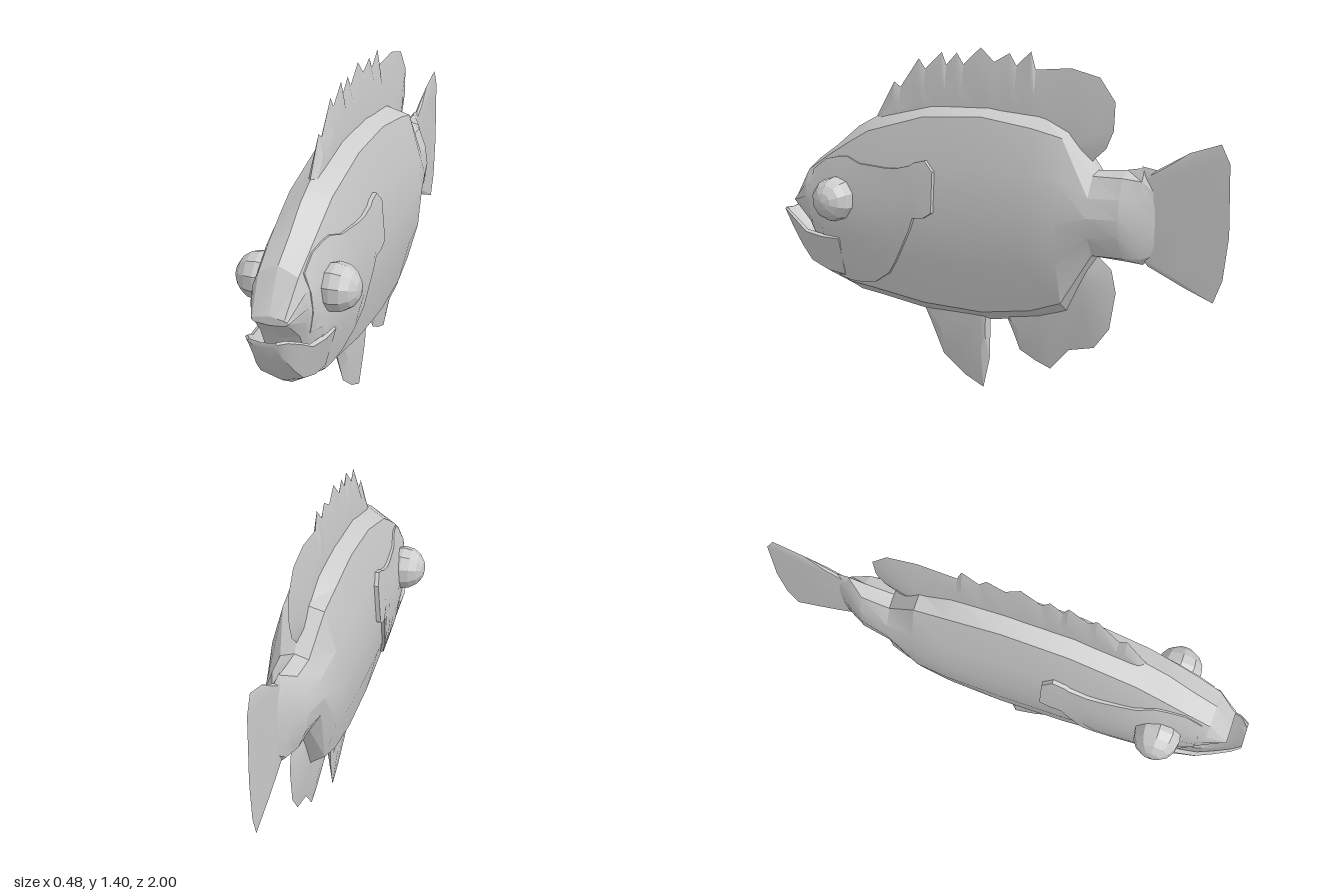
import * as THREE from 'three';
import { toCreasedNormals } from 'three/addons/utils/BufferGeometryUtils.js';

const clamp = THREE.MathUtils.clamp;
const lerp = THREE.MathUtils.lerp;
const material = new THREE.MeshStandardMaterial({ color: 0xcccccc, side: THREE.DoubleSide });

// Closed skin over a row of rings of [x, y, z] points, capped at both ends
function loft(rings, crease) {
  const n = rings[0].length;
  const tris = [];
  for (let i = 0; i + 1 < rings.length; i++) {
    for (let j = 0; j < n; j++) {
      const k = (j + 1) % n;
      const a = rings[i][j], b = rings[i][k], c = rings[i + 1][k], d = rings[i + 1][j];
      tris.push([a, b, c], [a, c, d]);
    }
  }
  const last = rings[rings.length - 1];
  for (let j = 1; j + 1 < n; j++) {
    tris.push([rings[0][0], rings[0][j + 1], rings[0][j]], [last[0], last[j], last[j + 1]]);
  }
  // Turn all faces outward
  const v = (p) => new THREE.Vector3(...p);
  const volume = tris.reduce((s, [a, b, c]) => s + v(a).dot(v(b).cross(v(c))), 0);
  if (volume < 0) tris.forEach((t) => t.reverse());
  const geometry = new THREE.BufferGeometry();
  geometry.setAttribute('position', new THREE.Float32BufferAttribute(tris.flat(2), 3));
  return toCreasedNormals(geometry, crease);
}

// Body stations: z, top, upper shoulder, lower shoulder, bottom, shoulder width, side width
const stations = [
  [0.935, 0.745, 0.735, 0.715, 0.71, 0.055, 0.07],
  [0.85, 0.90, 0.865, 0.64, 0.62, 0.075, 0.108],
  [0.75, 0.968, 0.93, 0.45, 0.40, 0.08, 0.128],
  [0.64, 1.055, 0.995, 0.40, 0.35, 0.082, 0.138],
  [0.54, 1.107, 1.05, 0.39, 0.338, 0.083, 0.142],
  [0.27, 1.17, 1.125, 0.355, 0.30, 0.085, 0.145],
  [0, 1.177, 1.14, 0.35, 0.30, 0.085, 0.145],
  [-0.22, 1.16, 1.11, 0.385, 0.335, 0.085, 0.145],
  [-0.35, 1.10, 1.08, 0.43, 0.375, 0.08, 0.14],
  [-0.47, 0.957, 0.94, 0.63, 0.615, 0.055, 0.115],
  [-0.59, 0.967, 0.94, 0.63, 0.61, 0.048, 0.088],
  [-0.66, 0.98, 0.93, 0.63, 0.605, 0.025, 0.045],
  [-0.715, 0.90, 0.88, 0.67, 0.65, 0.004, 0.006],
];

// Half outline of one station, from the back ridge down to the belly
function halfSection([z, top, high, low, bottom, ws, wm]) {
  const wu = lerp(ws, wm, 0.75);
  const mid = (high + low) / 2;
  return [
    [0, top, z], [ws, high, z], [wu, (high + mid) / 2, z], [wm, mid, z],
    [wu, (low + mid) / 2, z], [ws, low, z], [0, bottom, z],
  ];
}

function stationAt(z) {
  let i = 0;
  while (i < stations.length - 2 && stations[i + 1][0] > z) i++;
  const a = stations[i], b = stations[i + 1];
  const t = clamp((z - a[0]) / (b[0] - a[0]), 0, 1);
  return a.map((value, k) => lerp(value, b[k], t));
}

// Half width of the body at a given height
function bodyWidth(z, y) {
  const s = halfSection(stationAt(z));
  for (let i = 0; i < 6; i++) {
    if (y <= s[i][1] && y >= s[i + 1][1]) {
      return lerp(s[i][0], s[i + 1][0], (s[i][1] - y) / (s[i][1] - s[i + 1][1]));
    }
  }
  return 0;
}

function bodyGeometry() {
  return loft(stations.map((s) => {
    const half = halfSection(s);
    const mirrored = half.slice(1, 6).reverse().map(([x, y, z]) => [-x, y, z]);
    return [...half, ...mirrored];
  }), 0.3);
}

// Scooped lower jaw: z, lip, floor, lower side, bottom, width
function jawGeometry() {
  const rows = [
    [1.0, 0.683, 0.676, 0.662, 0.655, 0.055],
    [0.965, 0.677, 0.63, 0.61, 0.592, 0.08],
    [0.9, 0.645, 0.57, 0.53, 0.51, 0.105],
    [0.84, 0.61, 0.53, 0.47, 0.445, 0.122],
    [0.75, 0.60, 0.5, 0.44, 0.39, 0.136],
    [0.66, 0.60, 0.5, 0.43, 0.36, 0.14],
  ];
  return loft(rows.map(([z, lip, floor, low, bottom, w]) => [
    [0, floor, z], [w * 0.6, lerp(floor, lip, 0.3), z], [w * 0.88, lip, z], [w, lip - 0.008, z],
    [w * 0.68, low, z], [0, bottom, z], [-w * 0.68, low, z],
    [-w, lip - 0.008, z], [-w * 0.88, lip, z], [-w * 0.6, lerp(floor, lip, 0.3), z],
  ]), 0.6);
}

// Raised gill cover that follows the flank: z, lower edge, upper edge
function gillGeometry(side) {
  const columns = [
    [0.82, 0.50, 0.87], [0.75, 0.46, 0.92], [0.68, 0.415, 0.935], [0.63, 0.408, 0.94],
    [0.56, 0.408, 0.918], [0.5, 0.42, 0.916], [0.42, 0.47, 0.912], [0.37, 0.54, 0.914],
    [0.3, 0.67, 0.932], [0.28, 0.72, 0.945], [0.23, 0.725, 0.957], [0.19, 0.75, 0.915],
  ];
  return loft(columns.map(([z, low, high]) => {
    const lift = lerp(0.018, 0.004, clamp((z - 0.2) / 0.6, 0, 1));
    const outer = [], inner = [];
    for (let i = 0; i <= 5; i++) {
      const y = lerp(low, high, i / 5);
      const x = bodyWidth(z, y);
      outer.push([side * (x + lift), y, z]);
      inner.unshift([side * (x - 0.02), y, z]);
    }
    return [...outer, ...inner];
  }), 0.4);
}

// Lens-shaped fin: sharp outline of [z, y] points, thick at its root
function finGeometry(edge, root, w) {
  return loft(edge.map(([z, y]) => {
    const [rz, ry] = root(z, y);
    const mz = lerp(rz, z, 0.5), my = lerp(ry, y, 0.5);
    return [[0, y, z], [w * 0.85, my, mz], [w, ry, rz], [-w, ry, rz], [-w * 0.85, my, mz]];
  }), 0.3);
}

export function createModel() {
  const group = new THREE.Group();
  const add = (name, geometry, mat = material) => {
    const mesh = new THREE.Mesh(geometry, mat);
    mesh.name = name;
    group.add(mesh);
    return mesh;
  };

  add('body', bodyGeometry());
  add('lowerJaw', jawGeometry());

  // Spiny dorsal fin with a rounded rear lobe
  add('dorsalFin', finGeometry([
    [0.55, 1.10], [0.46, 1.25], [0.43, 1.23], [0.34, 1.35], [0.31, 1.31], [0.23, 1.38],
    [0.21, 1.33], [0.16, 1.38], [0.13, 1.335], [0.05, 1.405], [-0.01, 1.35], [-0.08, 1.387],
    [-0.11, 1.34], [-0.175, 1.397], [-0.195, 1.328], [-0.35, 1.34], [-0.47, 1.31],
    [-0.535, 1.22], [-0.53, 1.11], [-0.5, 1.04], [-0.44, 0.985],
  ], (z) => {
    const rz = clamp(z, -0.36, 0.5);
    return [rz, stationAt(rz)[1] - 0.03];
  }, 0.02));

  add('pelvicFin', finGeometry([
    [0.32, 0.31], [0.29, 0.25], [0.23, 0.12], [0.13, 0.045], [0.04, 0.003], [0.01, 0.13], [0.005, 0.31],
  ], (z) => [clamp(z, 0.03, 0.27), 0.34], 0.026));

  add('analFin', finGeometry([
    [-0.07, 0.32], [-0.10, 0.26], [-0.13, 0.19], [-0.2, 0.155], [-0.27, 0.13], [-0.35, 0.22], [-0.46, 0.245],
    [-0.525, 0.33], [-0.55, 0.48], [-0.53, 0.57], [-0.47, 0.62],
  ], (z) => {
    const rz = clamp(z, -0.39, -0.1);
    return [rz, 0.36 - (rz + 0.1) * 0.5];
  }, 0.024));

  add('tailFin', finGeometry([
    [-0.65, 0.985], [-0.71, 0.975], [-0.84, 1.05], [-0.96, 1.09], [-0.995, 1.02], [-1.0, 0.75],
    [-0.98, 0.58], [-0.945, 0.49], [-0.83, 0.535], [-0.68, 0.602],
  ], (z, y) => [-0.66, clamp(y, 0.64, 0.93)], 0.01));

  // Paired gill covers and bulging eyes
  const eyeMaterial = new THREE.MeshStandardMaterial({ color: 0xcccccc, flatShading: true });
  for (const [label, side] of [['left', 1], ['right', -1]]) {
    add(label + 'GillCover', gillGeometry(side));
    const eye = add(label + 'Eye', new THREE.SphereGeometry(0.094, 10, 8), eyeMaterial);
    eye.rotation.z = -side * Math.PI / 2;
    eye.position.set(side * 0.146, 0.763, 0.67);
  }
  return group;
}
